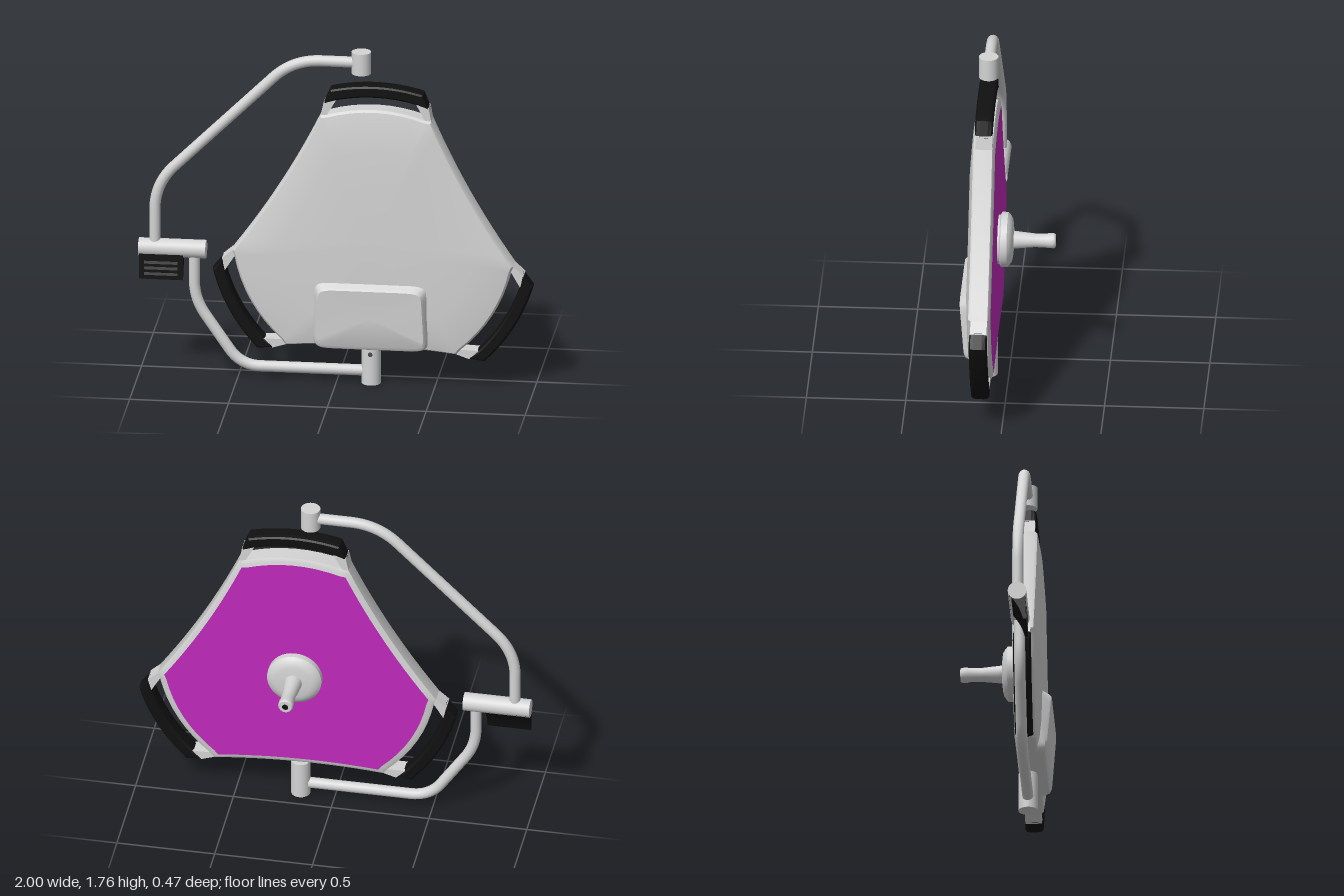
import * as THREE from 'three';
import { toCreasedNormals } from 'three/addons/utils/BufferGeometryUtils.js';

const mat = (name, color) => new THREE.MeshStandardMaterial({ name, color });
const V2 = (x, y) => new THREE.Vector2(x, y);
const V3 = (x, y, z) => new THREE.Vector3(x, y, z);
const MID_Z = 0.105;

// Skin a stack of closed loops (counter-clockwise seen from +z, stacked back to front)
function loft(rings, crease = 0.6) {
  const n = rings[0].length, index = [];
  for (let r = 0; r < rings.length - 1; r++) {
    for (let i = 0; i < n; i++) {
      const a = r * n + i, b = r * n + (i + 1) % n;
      index.push(a, b, b + n, a, b + n, a + n);
    }
  }
  const g = new THREE.BufferGeometry().setFromPoints(rings.flat());
  g.setIndex(index);
  return toCreasedNormals(g, crease);
}

// Polyline with its corners rounded off by the given length
function bentPath(points, bend) {
  const path = new THREE.CurvePath();
  let from = points[0];
  for (let i = 1; i < points.length - 1; i++) {
    const p = points[i];
    const a = p.clone().add(points[i - 1].clone().sub(p).setLength(bend));
    const b = p.clone().add(points[i + 1].clone().sub(p).setLength(bend));
    path.add(new THREE.LineCurve3(from, a));
    path.add(new THREE.QuadraticBezierCurve3(a, p, b));
    from = b;
  }
  path.add(new THREE.LineCurve3(from, points[points.length - 1]));
  return path;
}

// Three-lobed outline of the lamp head
function headOutline() {
  const pts = [], up = V2(0, 0);
  for (let k = 0; k < 3; k++) {
    const local = [];
    // curved outer end of a lobe
    local.push(V2(0.28, 0.66), V2(0.25, 0.664));
    for (let i = 1; i < 8; i++) {
      const u = 0.25 * (1 - i / 4);
      local.push(V2(u, 0.705 - 0.041 * (u / 0.25) ** 2));
    }
    local.push(V2(-0.25, 0.664), V2(-0.28, 0.66));
    // slightly hollow side towards the next lobe
    const dir = V2(-Math.sin(Math.PI / 3), 0.5), along = V2(-0.5, -Math.sin(Math.PI / 3));
    for (let i = 1; i < 12; i++) {
      const s = (i / 6 - 1);
      local.push(dir.clone().multiplyScalar(0.55 + 0.0225 * s * s).addScaledVector(along, s * 0.431));
    }
    local.forEach((p) => pts.push(p.rotateAround(up, k * Math.PI * 2 / 3)));
  }
  return pts;
}

// Rounded trapezoid loop for the front housing; z runs from bottom to top
function housingRing(wTop, wBottom, y0, y1, zBottom, zTop) {
  const ring = [], soft = (v) => Math.sign(v) * Math.abs(v) ** 0.2;
  for (let i = 0; i < 48; i++) {
    const a = (i + 0.5) / 48 * Math.PI * 2, t = (soft(Math.sin(a)) + 1) / 2;
    const w = THREE.MathUtils.lerp(wBottom, wTop, t);
    ring.push(V3(0.18 + w * soft(Math.cos(a)), THREE.MathUtils.lerp(y0, y1, t),
      THREE.MathUtils.lerp(zBottom, zTop, t)));
  }
  return ring;
}

export function createModel() {
  const model = new THREE.Group();
  model.name = 'surgicalLamp';
  const shell = mat('light grey shell', 0xd4d4d4);
  const black = mat('black grip', 0x101010);
  const lens = mat('purple lens', 0xc02abc);
  const dark = mat('dark grey detail', 0x4c4c4c);

  const add = (parent, name, geometry, material) => {
    const mesh = new THREE.Mesh(geometry, material);
    mesh.name = name;
    parent.add(mesh);
    return mesh;
  };

  // Lamp head
  const head = new THREE.Group();
  head.name = 'lampHead';
  head.position.set(0.19, 0.765, 0);
  head.rotation.z = -0.02;
  model.add(head);
  const outline = headOutline();
  const ring = (s, z) => outline.map((p) => V3(p.x * s, p.y * s, z));
  add(head, 'headShell', loft([
    ring(0.001, 0.056), ring(0.97, 0.056), ring(1, 0.066), ring(1, 0.15), ring(0.985, 0.163),
    ring(0.88, 0.176), ring(0.7, 0.185), ring(0.45, 0.191), ring(0.2, 0.194), ring(0.001, 0.195),
  ]), shell);
  const lensGeo = new THREE.ShapeGeometry(new THREE.Shape(outline.map((p) => p.clone().multiplyScalar(0.95))));
  lensGeo.rotateY(Math.PI);
  add(head, 'lensPanel', lensGeo, lens).position.z = 0.052;

  // Grip and its two brackets on every lobe
  const gripShape = new THREE.Shape();
  gripShape.moveTo(-0.268, 0.72);
  gripShape.lineTo(-0.236, 0.80);
  gripShape.quadraticCurveTo(0, 0.862, 0.236, 0.80);
  gripShape.lineTo(0.268, 0.72);
  gripShape.lineTo(0.205, 0.74);
  gripShape.quadraticCurveTo(0, 0.792, -0.205, 0.74);
  gripShape.closePath();
  const gripGeo = new THREE.ExtrudeGeometry(gripShape, {
    depth: 0.04, bevelThickness: 0.025, bevelSize: 0.012, bevelOffset: -0.012, bevelSegments: 2, curveSegments: 16,
  });
  for (let k = 0; k < 3; k++) {
    const lobe = new THREE.Group();
    lobe.name = 'lobeGrip' + (k + 1);
    lobe.rotation.z = k * Math.PI * 2 / 3;
    head.add(lobe);
    add(lobe, 'grip', gripGeo, black).position.z = 0.09;
    for (const s of [-1, 1]) {
      const bracket = new THREE.Shape([
        V2(s * 0.281, 0.64), V2(s * 0.28, 0.66), V2(s * 0.266, 0.728),
        V2(s * 0.203, 0.745), V2(s * 0.247, 0.665), V2(s * 0.24, 0.64),
      ]);
      add(lobe, 'gripBracket', new THREE.ExtrudeGeometry(bracket, { depth: 0.083, bevelEnabled: false }), shell)
        .position.z = 0.067;
    }
  }

  // Hub and sterile handle on the back
  const lathe = (pts, seg) => {
    const g = new THREE.LatheGeometry(pts.map(([r, h]) => V2(r, h)), seg);
    return toCreasedNormals(g.rotateX(-Math.PI / 2), 0.5);
  };
  add(head, 'hub', lathe([
    [0.125, -0.056], [0.125, -0.042], [0.139, -0.036], [0.139, -0.004], [0.128, 0.006], [0.11, 0.018],
    [0.09, 0.022], [0.05, 0.026], [0, 0.027],
  ], 40), shell);
  add(head, 'handle', lathe([
    [0.046, 0.02], [0.043, 0.05], [0.035, 0.13], [0.035, 0.185], [0.038, 0.2], [0.038, 0.228],
    [0.033, 0.236], [0, 0.236],
  ], 16), shell);
  const socket = add(head, 'handleSocket', new THREE.CircleGeometry(0.016, 16), black);
  socket.rotation.y = Math.PI;
  socket.position.z = -0.238;

  // Raised housing on the front
  add(model, 'frontHousing', loft([
    housingRing(0.295, 0.295, 0.195, 0.565, 0.15, 0.18),
    housingRing(0.282, 0.288, 0.2, 0.553, 0.18, 0.192),
    housingRing(0.268, 0.282, 0.208, 0.54, 0.2, 0.222),
    housingRing(0.26, 0.272, 0.225, 0.528, 0.21, 0.234),
    housingRing(0.0005, 0.0005, 0.376, 0.377, 0.222, 0.222),
  ], 0.5), shell);

  // Bent support arms
  const arm = (name, pts, bend) => add(model, name, new THREE.TubeGeometry(
    bentPath(pts.map(([x, y]) => V3(x, y, MID_Z)), bend), 70, 0.028, 16), shell);
  arm('upperArm', [[0.12, 1.705], [-0.22, 1.705], [-0.92, 1.015], [-0.92, 0.68]], 0.14);
  arm('lowerArm', [[-0.72, 0.67], [-0.72, 0.41], [-0.485, 0.065], [0.17, 0.065]], 0.1);

  // Pivot joints
  const joint = (name, x, y, length, radius) => {
    const mesh = add(model, name, new THREE.CylinderGeometry(radius, radius, length, 32), shell);
    mesh.position.set(x, y, MID_Z);
    return mesh;
  };
  joint('ceilingJoint', 0.125, 1.705, 0.115, 0.049);
  joint('headJoint', 0.175, 0.1, 0.2, 0.049);
  joint('elbowJoint', -0.83, 0.675, 0.34, 0.047).rotation.z = Math.PI / 2;
  add(model, 'jointScrew', new THREE.CircleGeometry(0.012, 16), dark).position.set(0.175, 0.165, MID_Z + 0.05);

  // Control panel under the elbow: wedge with a hollow back
  const wedge = new THREE.Shape();
  wedge.moveTo(0.145, 0.66);
  wedge.lineTo(0.15, 0.52);
  wedge.lineTo(0.135, 0.52);
  wedge.quadraticCurveTo(0.115, 0.6, 0.065, 0.65);
  wedge.closePath();
  const wedgeGeo = new THREE.ExtrudeGeometry(wedge, { depth: 0.222, bevelEnabled: false });
  wedgeGeo.rotateY(-Math.PI / 2);
  add(model, 'controlPanel', wedgeGeo, black).position.x = -0.773;
  for (let i = 0; i < 3; i++) {
    add(model, 'controlRow', new THREE.BoxGeometry(0.17, 0.014, 0.004), dark)
      .position.set(-0.884, 0.608 - i * 0.03, 0.149);
  }
  return model;
}
